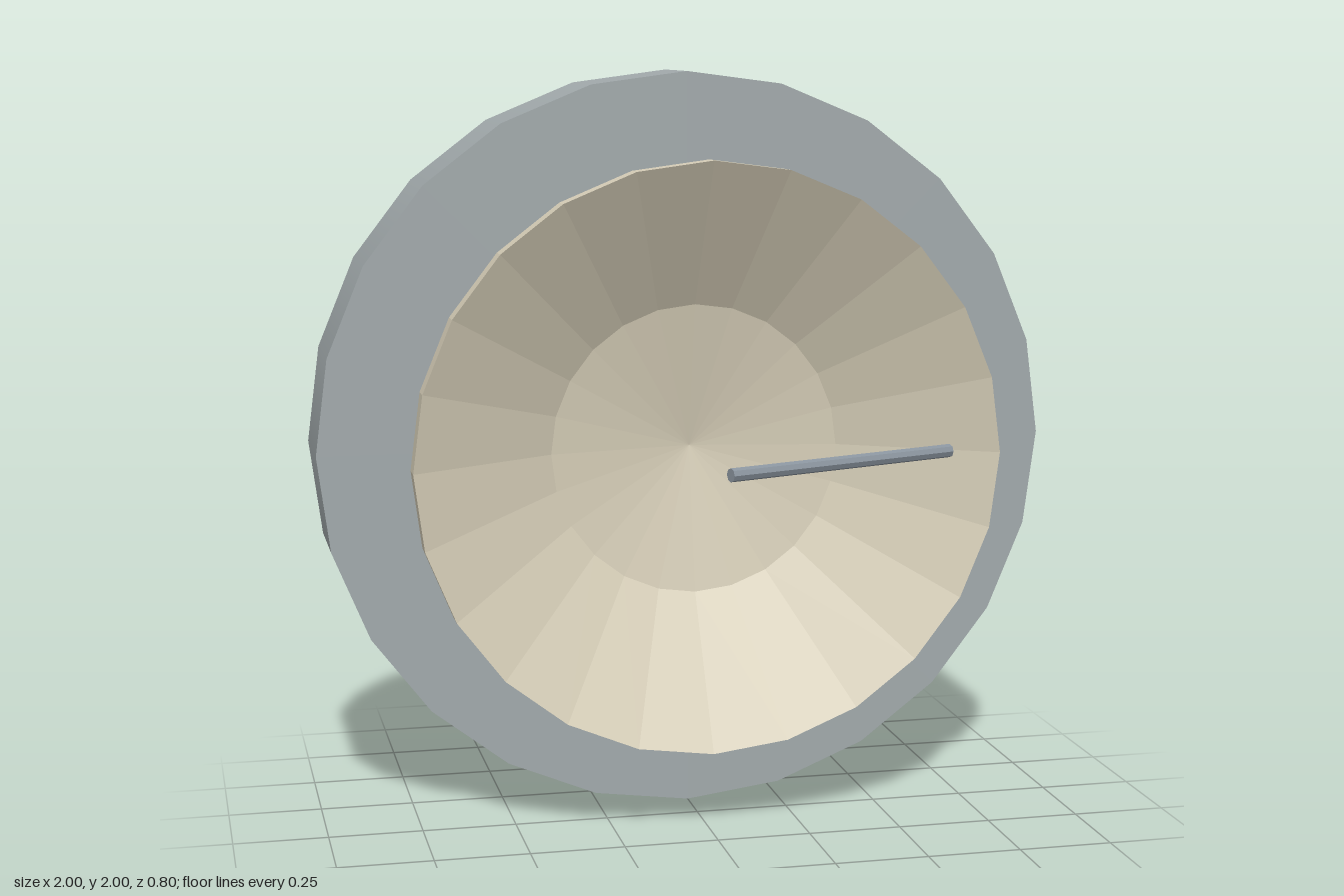
import * as THREE from 'three';

const SIDES = 24;

const mat = (name, color) => {
  const m = new THREE.MeshStandardMaterial({ color });
  m.name = name;
  return m;
};

// Give every face its own normal for a faceted look
const faceted = (geometry) => {
  const g = geometry.toNonIndexed();
  g.computeVertexNormals();
  return g;
};

export function createModel() {
  const grey = mat('blue grey', 0xa1a9ab);
  const cream = mat('cream', 0xd4ccb6);
  const steel = mat('steel', 0x8a949e);

  const model = new THREE.Group();
  model.name = 'dishOnDisc';
  const add = (name, geometry, material) => {
    const mesh = new THREE.Mesh(geometry, material);
    mesh.name = name;
    mesh.position.y = 1;
    model.add(mesh);
    return mesh;
  };

  // Round backing disc, z from -0.40 to -0.12
  const disc = new THREE.CylinderGeometry(1, 1, 0.28, SIDES);
  disc.rotateX(Math.PI / 2).translate(0, 0, -0.26);
  add('backingDisc', disc, grey);

  // Dish: back cone, rim band, then the parabolic bowl [radius, z]
  const profile = [[0.18, -0.125], [0.78, 0.14], [0.78, 0.2], [0.39, -0.025], [0, -0.1]]
    .map(([r, z]) => new THREE.Vector2(r, z));
  const dish = new THREE.LatheGeometry(profile, SIDES);
  dish.rotateX(Math.PI / 2);
  add('dish', faceted(dish), cream);

  // Feed arm: from the focus down to the bowl's left side, tilted 20 degrees
  const tilt = THREE.MathUtils.degToRad(20);
  const length = 0.7;
  const arm = new THREE.CylinderGeometry(0.018, 0.018, length, 8);
  arm.rotateZ(Math.PI / 2).translate(length / 2, 0, 0).rotateY(tilt);
  add('feedArm', faceted(arm), steel).position.z = 0.383;

  return model;
}
